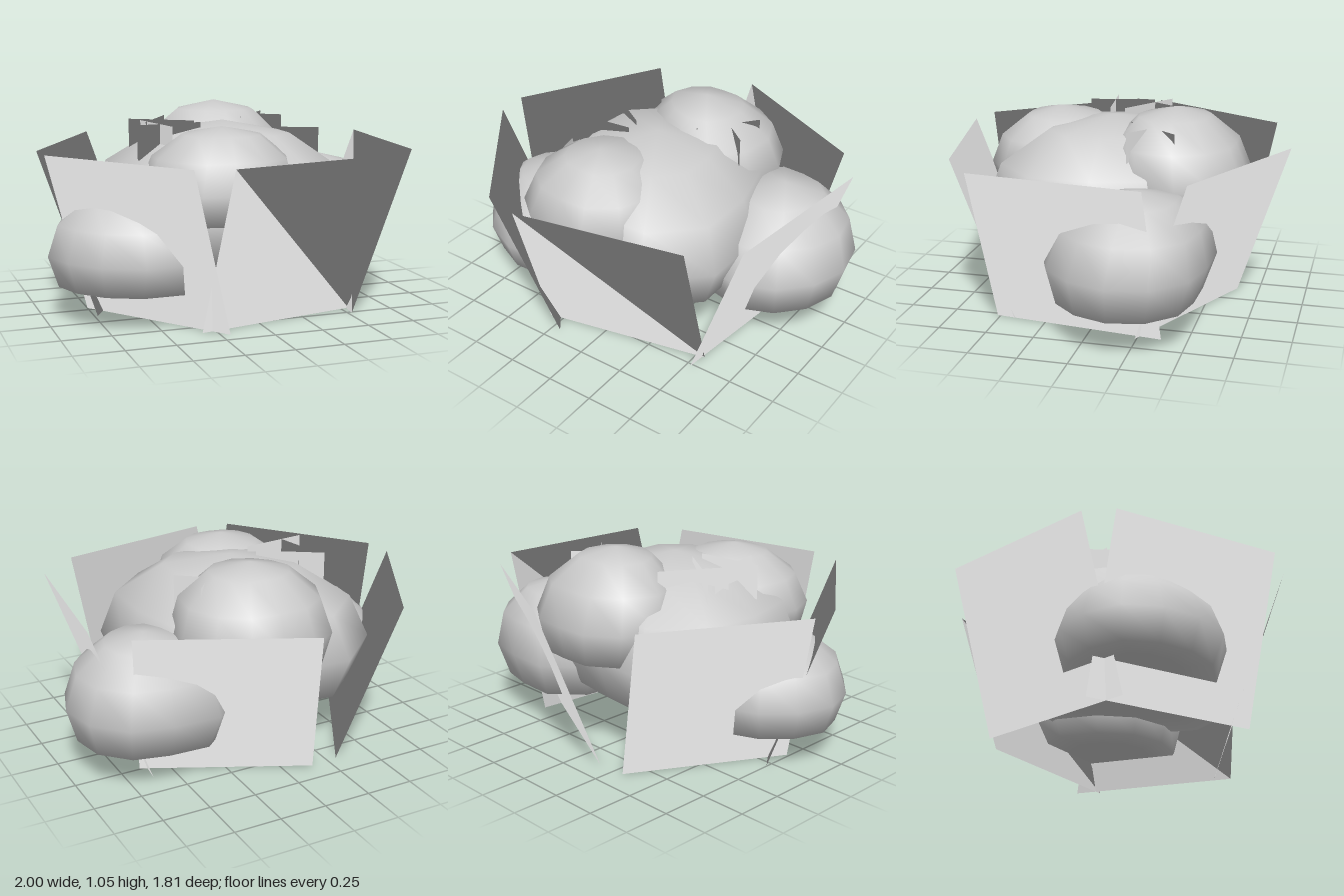
import * as THREE from 'three';
import { mergeVertices } from 'three/addons/utils/BufferGeometryUtils.js';

const foliageGrey = new THREE.MeshStandardMaterial({ color: 0xcccccc });
foliageGrey.name = 'foliage grey';

// Flat-bottomed dome; radii are given every 45 degrees from +x towards +z,
// and the peak is shifted by (peakX, peakZ)
function clump(name, x, z, y0, y1, radii, peakX = 0, peakZ = 0) {
  let geo = new THREE.SphereGeometry(1, 12, 6);
  geo.deleteAttribute('normal');
  geo.deleteAttribute('uv');
  geo = mergeVertices(geo, 1e-4);
  const p = geo.attributes.position;
  for (let i = 0; i < p.count; i++) {
    const px = p.getX(i), pz = p.getZ(i);
    const a = ((Math.atan2(pz, px) / (Math.PI / 4)) + 8) % 8;
    const k = Math.floor(a), f = a - k;
    const r = radii[k % 8] * (1 - f) + radii[(k + 1) % 8] * f;
    const up = (Math.max(p.getY(i), -0.5) + 0.5) / 1.5;
    const shift = up * up;
    p.setXYZ(i, px * r + peakX * shift, up * (y1 - y0), pz * r + peakZ * shift);
  }
  geo.computeVertexNormals();
  const mesh = new THREE.Mesh(geo, foliageGrey);
  mesh.name = name;
  mesh.position.set(x, y0, z);
  return mesh;
}

// Thin card from a top edge down along (dx, dy, dz). Its two faces lie a hair
// apart and share one soft upward normal, as is usual for leaf cards.
function card(name, [x0, z0, x1, z1], top, [dx, dy, dz], normal) {
  const across = new THREE.Vector3(x1 - x0, 0, z1 - z0);
  const front = new THREE.Vector3(dx, dy, dz).cross(across).normalize();
  const n = new THREE.Vector3(...normal).normalize();
  const positions = [], normals = [];
  for (const offset of [0.001, -0.001]) {
    for (const [x, y, z] of [
      [x0, top, z0], [x1, top, z1],
      [x1 + dx, top + dy, z1 + dz], [x0 + dx, top + dy, z0 + dz],
    ]) {
      positions.push(x + front.x * offset, y + front.y * offset, z + front.z * offset);
      normals.push(n.x, n.y, n.z);
    }
  }
  const geo = new THREE.BufferGeometry();
  geo.setAttribute('position', new THREE.Float32BufferAttribute(positions, 3));
  geo.setAttribute('normal', new THREE.Float32BufferAttribute(normals, 3));
  geo.setIndex([0, 2, 1, 0, 3, 2, 4, 5, 6, 4, 6, 7]);
  const mesh = new THREE.Mesh(geo, foliageGrey);
  mesh.name = name;
  return mesh;
}

export function createModel() {
  const model = new THREE.Group();
  model.name = 'bush';

  // Rounded foliage clumps
  model.add(
    clump('mainClump', -0.05, 0.03, 0.29, 0.975, [0.63, 0.77, 0.6, 0.66, 0.64, 0.76, 0.58, 0.64], 0.03, 0),
    clump('lowLeftSideClump', -0.6, 0.17, 0.18, 0.65, [0.44, 0.52, 0.43, 0.37, 0.39, 0.37, 0.41, 0.42]),
    clump('lowRightSideClump', 0.6, -0.17, 0.2, 0.75, [0.4, 0.38, 0.42, 0.43, 0.45, 0.52, 0.41, 0.42], 0, -0.06),
    clump('frontTopClump', -0.19, 0.41, 0.53, 0.98, [0.42, 0.38, 0.31, 0.33, 0.36, 0.41, 0.46, 0.45], 0.05, -0.05),
    clump('backTopClump', 0.06, -0.4, 0.53, 1.05, [0.41, 0.45, 0.42, 0.38, 0.42, 0.37, 0.31, 0.36], -0.01, 0.08),
  );

  // Ring of big leaf cards leaning outwards: top edges as x0, z0, x1, z1
  const lean = 0.305, height = 0.845;
  [
    [-0.26, 0.9, 0.61, 0.715],
    [-0.99, 0.15, -0.445, 0.86],
    [-1.0, -0.015, -0.57, -0.77],
    [-0.02, -0.905, 0.78, -0.515],
    [0.925, -0.335, 0.825, 0.55],
  ].forEach((edge, i) => {
    const [x0, z0, x1, z1] = edge;
    const len = Math.hypot(x1 - x0, z1 - z0);
    let ox = (z1 - z0) / len, oz = -(x1 - x0) / len;
    if (ox * (x0 + x1) + oz * (z0 + z1) < 0) { ox = -ox; oz = -oz; }
    const down = [-ox * lean, -height, -oz * lean];
    model.add(card('leafCard' + (i + 1), edge, height, down, down.map((v) => -v)));
  });

  // Crossed sprig cards on top
  [
    [-0.47, -0.19, -0.17, 0.01],
    [-0.24, -0.31, -0.43, 0],
    [-0.51, 0.13, -0.16, 0.09],
    [-0.43, -0.1, -0.36, 0.25],
    [0.1, -0.35, 0.38, -0.13],
    [0.13, -0.1, 0.35, -0.37],
  ].forEach((edge, i) => {
    model.add(card('sprigCard' + (i + 1), edge, 0.973, [0, -0.18, 0], [-0.25, 0.94, -0.22]));
  });

  return model;
}
